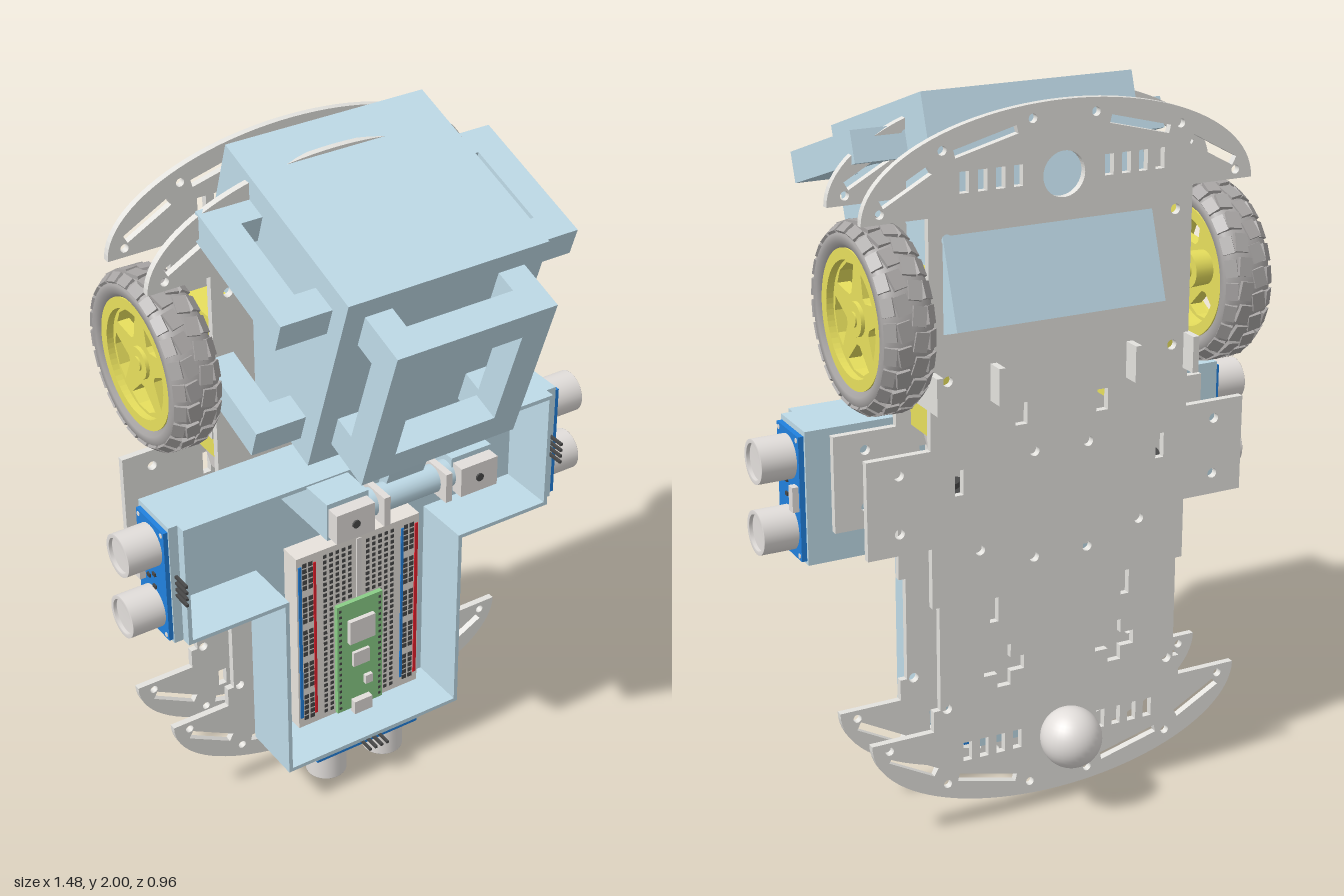
import * as THREE from 'three';
import { mergeGeometries } from 'three/addons/utils/BufferGeometryUtils.js';

const paint = (name, color) => {
  const m = new THREE.MeshStandardMaterial({ color });
  m.name = name;
  return m;
};

export function createModel() {
  const shell = paint('pale blue shell', 0xbfdbe8);
  const plate = paint('plate grey', 0xe3e2de);
  const metal = paint('light metal', 0xe2dedb);
  const rubber = paint('tire grey', 0xa9a6a5);
  const yellow = paint('yellow plastic', 0xeae25e);
  const pcb = paint('circuit blue', 0x2181de);
  const green = paint('circuit green', 0x8ace87);
  const red = paint('red stripe', 0xe8202c);
  const black = paint('dark parts', 0x484848);
  const board = paint('breadboard white', 0xe9e4de);

  const root = new THREE.Group();
  root.name = 'robot';
  const CX = -0.008; // centre line of the chassis

  const add = (parent, name, geo, mat, x = 0, y = 0, z = 0) => {
    const m = new THREE.Mesh(geo, mat);
    m.name = name;
    m.position.set(x, y, z);
    parent.add(m);
    return m;
  };
  const boxGeo = (x0, x1, y0, y1, z0, z1) =>
    new THREE.BoxGeometry(x1 - x0, y1 - y0, z1 - z0).translate((x0 + x1) / 2, (y0 + y1) / 2, (z0 + z1) / 2);
  const box = (p, name, mat, ...b) => add(p, name, boxGeo(...b), mat);
  const group = (parent, name) => {
    const g = new THREE.Group();
    g.name = name;
    parent.add(g);
    return g;
  };
  const poly = (pts) => new THREE.Shape(pts.map(([x, y]) => new THREE.Vector2(x, y)));
  const rect = (cx, cy, w, h, a = 0) => poly([[-1, -1], [1, -1], [1, 1], [-1, 1]].map(([u, v]) => {
    const x = u * w / 2, y = v * h / 2;
    return [cx + x * Math.cos(a) - y * Math.sin(a), cy + x * Math.sin(a) + y * Math.cos(a)];
  }));
  const circle = (x, y, r) => new THREE.Shape().absarc(x, y, r, 0, Math.PI * 2);
  const extrude = (shape, depth, curveSegments = 24) =>
    new THREE.ExtrudeGeometry(shape, { depth, bevelEnabled: false, curveSegments });

  // Chassis plates with curved bumpers, side tabs, slots and holes
  const s = new THREE.Shape();
  s.absellipse(0, 1.71, 0.56, 0.26, 0, Math.PI);
  [[-0.38, 1.71], [-0.38, 1.1], [-0.56, 1.1], [-0.56, 0.83], [-0.38, 0.83], [-0.38, 0.66], [-0.36, 0.66],
    [-0.36, 0.36], [-0.38, 0.36], [-0.38, 0.3], [-0.56, 0.3]].forEach((p) => s.lineTo(...p));
  s.absellipse(0, 0.3, 0.56, 0.26, Math.PI, Math.PI * 2);
  [[0.38, 0.3], [0.38, 0.36], [0.36, 0.36], [0.36, 0.66], [0.38, 0.66], [0.38, 0.83], [0.56, 0.83],
    [0.56, 1.1], [0.38, 1.1], [0.38, 1.71]].forEach((p) => s.lineTo(...p));
  s.holes.push(circle(0, 1.78, 0.06));
  for (const k of [-1, 1]) {
    for (const [fy, d] of [[(y) => y, 1], [(y) => 2.01 - y, -1]]) {
      s.holes.push(rect(k * 0.44, fy(1.795), 0.15, 0.025, -0.5 * k * d));
      s.holes.push(rect(k * 0.22, fy(1.885), 0.18, 0.022, -0.25 * k * d));
      s.holes.push(circle(k * 0.09, fy(1.93), 0.012), circle(k * 0.34, fy(1.875), 0.012), circle(k * 0.51, fy(1.735), 0.012));
      for (let i = 0; i < 4; i++) s.holes.push(rect(k * (0.13 + i * 0.05), fy(1.79), 0.026, 0.055));
    }
    // Plus-shaped cutouts
    const a = 0.02, b = 0.06, c = k * 0.17, e = 0.45;
    s.holes.push(poly([[-a, -b], [a, -b], [a, -a], [b, -a], [b, a], [a, a], [a, b], [-a, b], [-a, a], [-b, a], [-b, -a], [-a, -a]]
      .map(([x, y]) => [c + x, e + y])));
    s.holes.push(rect(k * 0.2, 0.62, 0.025, 0.07), rect(k * 0.12, 1.16, 0.035, 0.06), rect(k * 0.3, 1.0, 0.025, 0.07));
    for (const [x, y] of [[0.33, 1.28], [0.33, 1.65], [0.47, 1.05], [0.47, 0.89], [0.34, 0.36], [0.08, 0.75], [0.08, 1.05], [0.24, 0.8]])
      s.holes.push(circle(k * x, y, 0.014));
  }
  const plateGeo = extrude(s, 0.02);
  add(root, 'frontChassisPlate', plateGeo, plate, CX, 0, -0.12);
  add(root, 'backChassisPlate', plateGeo, plate, CX, 0, -0.33);

  // Ball caster and lower bracket
  add(root, 'casterBall', new THREE.SphereGeometry(0.085, 32, 20), metal, -0.01, 0.225, -0.395);
  box(root, 'lowerBracket', shell, -0.18, 0.16, 0.135, 0.265, -0.18, -0.12);

  // Wheel geometry, built around z
  const tireGeo = new THREE.LatheGeometry([[0.178, -0.052], [0.196, -0.069], [0.216, -0.069], [0.231, -0.056], [0.241, -0.03], [0.244, 0],
    [0.241, 0.03], [0.231, 0.056], [0.216, 0.069], [0.196, 0.069], [0.178, 0.052], [0.178, -0.052]].map((p) => new THREE.Vector2(...p)), 60).rotateX(Math.PI / 2);
  const treads = [];
  for (let i = 0; i < 24; i++) for (const k of [-1, 1]) {
    const a = (i + (k > 0 ? 0.5 : 0)) / 24 * Math.PI * 2;
    treads.push(new THREE.BoxGeometry(0.012, 0.05, 0.036).rotateX(0.2 * k).translate(0.2425, 0, k * 0.02).rotateZ(a));
    treads.push(new THREE.BoxGeometry(0.012, 0.046, 0.032).rotateY(-k * 0.65).translate(0.2305, 0, k * 0.054).rotateZ(a));
  }
  const treadGeo = mergeGeometries(treads);
  const rimRing = circle(0, 0, 0.182);
  rimRing.holes.push(circle(0, 0, 0.152));
  const star = circle(0, 0, 0.16);
  for (let i = 0; i < 5; i++) {
    const mid = Math.PI / 2 + (i + 0.5) / 5 * Math.PI * 2, at = (r, d) => [r * Math.cos(mid + d), r * Math.sin(mid + d)];
    star.holes.push(poly([at(0.07, -0.12), at(0.138, -0.48), at(0.145, -0.2), at(0.145, 0.2), at(0.138, 0.48), at(0.07, 0.12)]));
  }
  for (const k of [-1, 1]) {
    const w = group(root, k > 0 ? 'leftWheel' : 'rightWheel');
    w.position.set(CX + k * 0.487, 1.445, -0.223);
    w.rotation.y = k * Math.PI / 2;
    add(w, 'tire', tireGeo, rubber);
    add(w, 'tread', treadGeo, rubber);
    add(w, 'rim', extrude(rimRing, 0.12, 32), yellow, 0, 0, -0.06);
    add(w, 'spokes', extrude(star, 0.035, 32), yellow, 0, 0, 0.005);
    add(w, 'hub', new THREE.CylinderGeometry(0.045, 0.05, 0.1, 24).rotateX(Math.PI / 2), yellow);
    add(w, 'axleCap', new THREE.CylinderGeometry(0.02, 0.02, 0.11, 16).rotateX(Math.PI / 2), yellow);

    // Gear motor between the plates
    const m = group(root, 'gearMotor');
    m.position.x = CX + k * 0.28;
    box(m, 'gearbox', yellow, -0.08, 0.08, 1.18, 1.56, -0.298, -0.145);
    box(m, 'motorCollar', yellow, -0.07, 0.07, 1.11, 1.18, -0.298, -0.148);
    add(m, 'motorCan', new THREE.CylinderGeometry(0.066, 0.05, 0.07, 20), metal, 0, 1.08, -0.223);
    for (const z of [-0.295, -0.151]) box(m, 'motorStrap', yellow, -0.03, 0.03, 1.07, 1.12, z - 0.006, z + 0.006);
    add(m, 'encoderDisc', new THREE.CylinderGeometry(0.073, 0.073, 0.04, 24), black, 0, 0.93, -0.223);
    add(m, 'encoderHub', new THREE.CylinderGeometry(0.03, 0.03, 0.06, 16), black, 0, 0.935, -0.223);
    add(m, 'axle', new THREE.CylinderGeometry(0.025, 0.025, 0.2, 16).rotateZ(Math.PI / 2), yellow, k * 0.14, 1.445, -0.223);
    for (const x of [0.2, 0.375]) box(root, 'motorHolder', plate, CX + k * x - 0.009, CX + k * x + 0.009, 1.21, 1.31, -0.38, -0.12);
  }

  // T-shaped open tray
  const tee = (i) => [[-0.295 + i, 0.145 + i], [0.295 - i, 0.145 + i], [0.295 - i, 0.745 + i], [0.597 - i, 0.745 + i],
    [0.597 - i, 1.12 - i], [-0.597 + i, 1.12 - i], [-0.597 + i, 0.745 + i], [-0.295 + i, 0.745 + i]];
  const wall = poly(tee(0));
  wall.holes.push(poly(tee(0.012)));
  add(root, 'trayWalls', extrude(wall, 0.19), shell, CX, 0, -0.1);
  add(root, 'trayFloor', extrude(poly(tee(0.005)), 0.015), shell, CX, 0, -0.1);
  box(root, 'rightSensorMount', shell, -0.632, -0.6, 0.745, 1.12, -0.1, 0.06);
  box(root, 'leftSensorMount', shell, 0.585, 0.622, 0.745, 1.12, -0.1, 0.06);
  box(root, 'bottomSensorMount', shell, -0.19, 0.17, 0.112, 0.15, -0.1, 0.06);

  // Twin-barrel distance sensors: board in local xy, barrels along local z
  const V = (x, y, z) => new THREE.Vector3(x, y, z);
  const barrel = new THREE.LatheGeometry([[0.061, 0], [0.061, 0.099], [0.061, 0.1], [0.05, 0.1], [0.05, 0.099], [0.05, 0.09], [0.05, 0.089], [0, 0.089]]
    .map((p) => new THREE.Vector2(...p)), 32).rotateX(Math.PI / 2);
  const sensor = (name, pos, ax, ay, az) => {
    const g = group(root, name);
    g.quaternion.setFromRotationMatrix(new THREE.Matrix4().makeBasis(ax, ay, az));
    g.position.copy(pos);
    box(g, 'sensorBoard', pcb, -0.175, 0.175, -0.073, 0.073, -0.014, 0.002);
    for (const k of [-1, 1]) {
      add(g, 'barrel', barrel, metal, k * 0.1, 0, 0);
      for (const y of [-0.06, 0.06]) add(g, 'boardHole', new THREE.CylinderGeometry(0.007, 0.007, 0.004, 12).rotateX(Math.PI / 2), metal, k * 0.162, y, 0.002);
    }
    box(g, 'crystal', metal, -0.035, 0.035, -0.066, -0.04, 0, 0.02);
    box(g, 'pinHeader', black, -0.035, 0.035, 0.05, 0.07, -0.04, -0.01);
    for (let i = 0; i < 4; i++) {
      const x = -0.03 + i * 0.02;
      box(g, 'pin', black, x - 0.004, x + 0.004, 0.06, 0.135, -0.03, -0.022);
      box(g, 'chip', black, x - 0.005, x + 0.005, -0.025 + (i % 2) * 0.03, -0.01 + (i % 2) * 0.03, 0, 0.007);
    }
  };
  sensor('leftSensor', V(0.635, 0.93, -0.018), V(0, 1, 0), V(0, 0, 1), V(1, 0, 0));
  sensor('rightSensor', V(-0.643, 0.93, -0.018), V(0, -1, 0), V(0, 0, 1), V(-1, 0, 0));
  sensor('bottomSensor', V(-0.01, 0.1, -0.018), V(1, 0, 0), V(0, 0, 1), V(0, -1, 0));

  // Breadboard with contact holes and rail stripes
  const bb = group(root, 'breadboard');
  bb.position.set(0.007, 0, 0);
  box(bb, 'breadboardBody', board, -0.207, 0.207, 0.185, 0.795, -0.086, -0.02);
  const dots = [];
  const dot = (x, y, r) => dots.push(boxGeo(x - r, x + r, y - r, y + r, -0.021, -0.018));
  for (const k of [-1, 1]) {
    for (let r = 0; r < 30; r++) for (let c = 0; c < 5; c++) dot(k * (0.03 + c * 0.021), 0.21 + r * 0.0193, 0.0055);
    for (let r = 0; r < 25; r++) for (const x of [0.161, 0.181]) dot(k * x, 0.215 + Math.floor(r / 5) * 0.118 + (r % 5) * 0.0195, 0.007);
  }
  add(bb, 'contactHoles', mergeGeometries(dots), black);
  box(bb, 'centreGroove', metal, -0.008, 0.008, 0.19, 0.79, -0.021, -0.017);
  box(bb, 'redStripe', red, 0.192, 0.202, 0.22, 0.765, -0.021, -0.017);
  box(bb, 'redStripe', red, -0.152, -0.144, 0.22, 0.765, -0.021, -0.017);
  box(bb, 'blueStripe', pcb, -0.202, -0.192, 0.22, 0.765, -0.021, -0.017);
  box(bb, 'blueStripe', pcb, 0.144, 0.152, 0.22, 0.765, -0.021, -0.017);

  // Controller board
  const cb = group(root, 'controller');
  box(cb, 'controllerBoard', green, -0.08, 0.075, 0.2, 0.59, -0.012, 0.002);
  box(cb, 'shieldCan', metal, -0.045, 0.042, 0.45, 0.53, 0, 0.016);
  box(cb, 'processor', metal, -0.03, 0.025, 0.36, 0.41, 0, 0.012);
  box(cb, 'button', metal, 0.01, 0.035, 0.28, 0.31, 0, 0.014);
  box(cb, 'usbPort', metal, -0.033, 0.028, 0.19, 0.235, 0, 0.022);
  for (const x of [-0.07, 0.065]) for (let i = 0; i < 18; i++)
    box(cb, 'pad', black, x - 0.004, x + 0.004, 0.212 + i * 0.021, 0.22 + i * 0.021, 0.001, 0.004);

  // Neck hinge
  for (const k of [-1, 1]) {
    const x = 0.035 + k * 0.2;
    box(root, 'hingeBlock', shell, x - 0.065, x + 0.065, 1.0, 1.115, -0.09, 0.19);
    box(root, 'hingeBracket', metal, x - 0.06, x + 0.06, 1.01, 1.1, 0.19, 0.23);
    box(root, 'hingeEar', metal, 0.035 + k * 0.1 - 0.01, 0.035 + k * 0.1 + 0.01, 1.01, 1.1, 0.12, 0.23);
    add(root, 'hingeScrew', new THREE.CylinderGeometry(0.012, 0.012, 0.008, 12).rotateX(Math.PI / 2), black, x, 1.055, 0.231);
  }
  add(root, 'hingePin', new THREE.CylinderGeometry(0.04, 0.04, 0.28, 24).rotateZ(Math.PI / 2), shell, 0.035, 1.055, 0.165);
  const neck = box(root, 'neck', shell, -0.06, 0.06, -0.13, 0.13, -0.014, 0.014);
  neck.position.set(0.032, 1.175, 0.185);
  neck.rotation.x = 0.38;

  // Tilted head with face frame and side handles
  const head = group(root, 'head');
  head.position.set(0.033, 1.618, -0.027);
  head.rotation.x = 0.333;
  box(head, 'skull', shell, -0.3, 0.3, -0.3, 0.3, -0.3, 0.3);
  const face = rect(0, 0, 0.48, 0.48);
  face.holes.push(rect(0, 0, 0.31, 0.31));
  add(head, 'faceFrame', extrude(face, 0.085), shell, 0, 0, 0.365);
  box(head, 'facePanel', shell, -0.065, 0.065, -0.14, 0.14, 0.3, 0.33);
  for (const k of [-1, 1]) for (const j of [-1, 1]) {
    box(head, 'faceArm', shell, k * 0.2 - 0.04, k * 0.2 + 0.04, j * 0.19 - 0.05, j * 0.19 + 0.05, 0.3, 0.368);
    const h = group(head, 'sideHandle');
    h.position.set(k * 0.3, j * 0.2 - 0.005, 0.037);
    box(h, 'handleBar', shell, k * 0.105 - 0.043, k * 0.105 + 0.043, -0.042, 0.042, -0.21, 0.21);
    for (const e of [-1, 1]) box(h, 'handleArm', shell, k * 0.032 - 0.034, k * 0.032 + 0.034, -0.042, 0.042, e * 0.17 - 0.04, e * 0.17 + 0.04);
  }
  return root;
}
